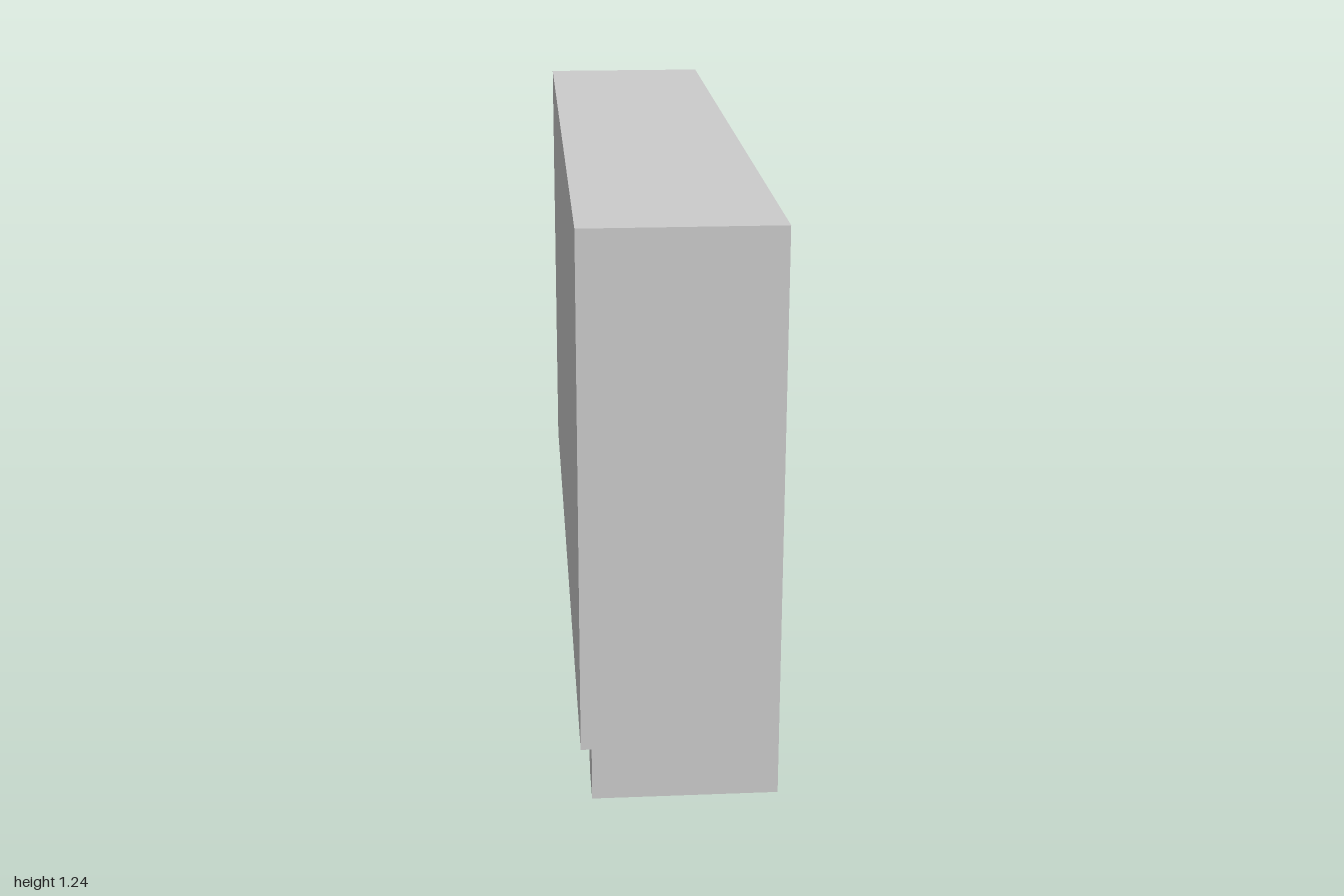
import * as THREE from 'three';

const H = 1.242, HALF_X = 0.21, HALF_Z = 1, INNER_Z = 0.875;
const PANEL_X = -0.187; // inner face of the panel
const FLOOR_Y = 0.117, UNDER_Y = 0.053, CEILING_Y = 1.227;

const material = new THREE.MeshStandardMaterial({ color: 0xcccccc, flatShading: true });

// Box given by its lower and upper corners
function box(name, min, max) {
  const size = max.map((v, i) => v - min[i]);
  const mesh = new THREE.Mesh(new THREE.BoxGeometry(...size), material);
  mesh.position.set(...min.map((v, i) => (v + max[i]) / 2));
  mesh.name = name;
  return mesh;
}

function path(Type, points) {
  return new Type(points.map(([a, b]) => new THREE.Vector2(a, b)));
}

export function createModel() {
  const model = new THREE.Group();
  model.name = 'cabinet';

  // Frame with two feet, cut through by the large opening
  const outline = path(THREE.Shape, [
    [-HALF_Z, 0], [-INNER_Z, 0], [-INNER_Z, UNDER_Y], [INNER_Z, UNDER_Y],
    [INNER_Z, 0], [HALF_Z, 0], [HALF_Z, H], [-HALF_Z, H],
  ]);
  outline.holes.push(path(THREE.Path, [
    [-INNER_Z, FLOOR_Y], [-INNER_Z, CEILING_Y], [INNER_Z, CEILING_Y], [INNER_Z, FLOOR_Y],
  ]));
  const frameGeometry = new THREE.ExtrudeGeometry(outline, {
    depth: HALF_X - PANEL_X, bevelEnabled: false,
  });
  frameGeometry.rotateY(Math.PI / 2).translate(PANEL_X, 0, 0);
  const frame = new THREE.Mesh(frameGeometry, material);
  frame.name = 'frame';
  model.add(frame);

  // Panel closing one side, stopping above the feet
  model.add(box('panel', [-HALF_X, FLOOR_Y, -HALF_Z], [PANEL_X, H, HALF_Z]));

  // Small upturned hook on the inside of the panel
  const hook = new THREE.Group();
  hook.name = 'hook';
  const tipX = PANEL_X + 0.052;
  hook.add(box('hookArm', [PANEL_X, 0.797, 0.683], [tipX, 0.809, 0.702]));
  hook.add(box('hookTip', [tipX - 0.012, 0.809, 0.683], [tipX, 0.842, 0.702]));
  model.add(hook);

  return model;
}
